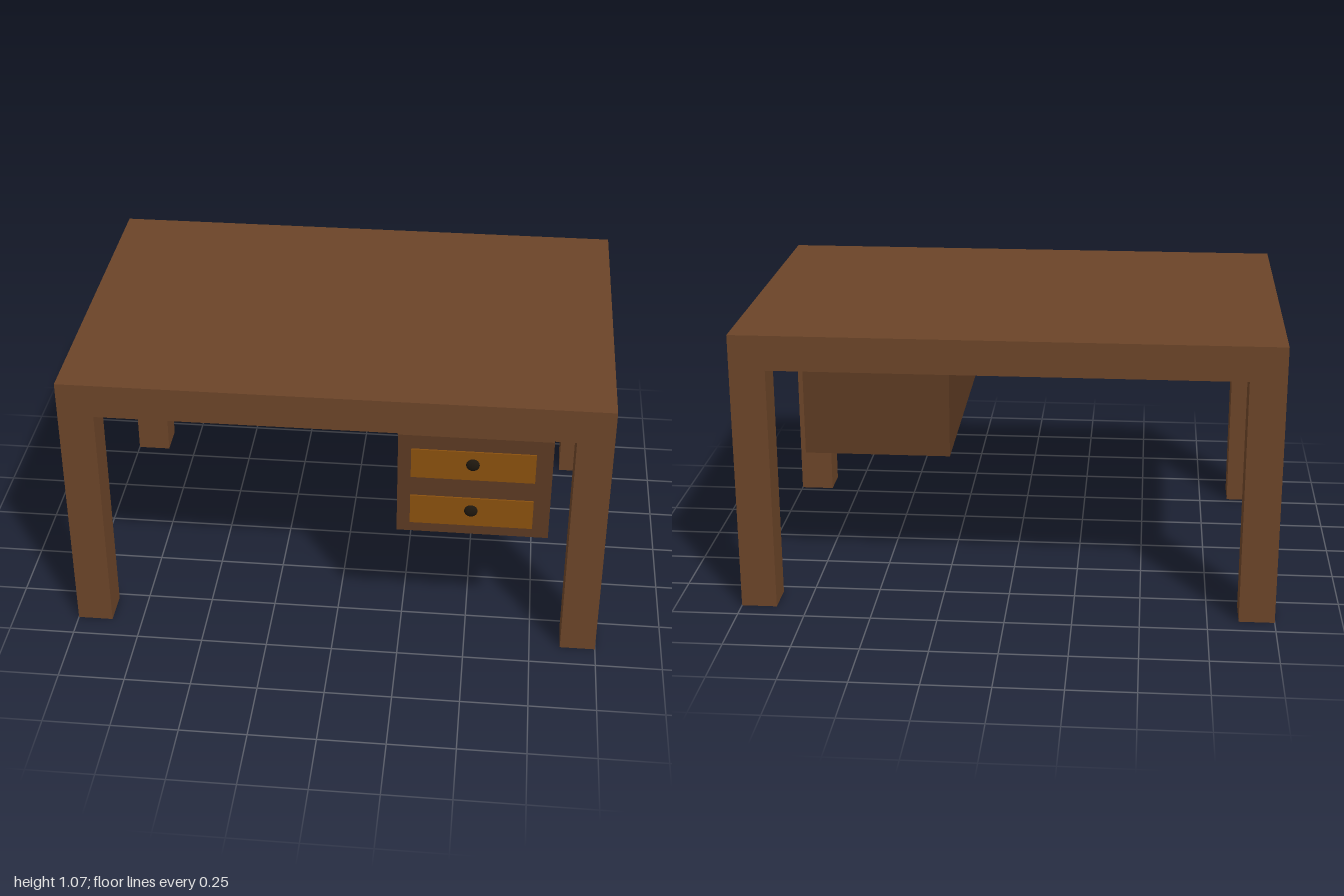
import * as THREE from 'three';

const paint = (color, extra = {}) => new THREE.MeshStandardMaterial({ color, ...extra });

export function createModel() {
  const desk = new THREE.Group();
  desk.name = 'desk';

  const tableWood = paint(0x6b4428);
  const legWood = paint(0x6b4428, { side: THREE.DoubleSide, flatShading: true });
  const cabinetWood = paint(0x5c3a22);
  const drawerWood = paint(0x8a500e);
  const knobMetal = paint(0x1e170e);

  const add = (parent, name, geometry, material) => {
    const mesh = new THREE.Mesh(geometry, material);
    mesh.name = name;
    parent.add(mesh);
    return mesh;
  };
  // Box given by its extents along each axis
  const box = (parent, name, material, [x0, x1], [y0, y1], [z0, z1]) => {
    const mesh = add(parent, name, new THREE.BoxGeometry(x1 - x0, y1 - y0, z1 - z0), material);
    mesh.position.set((x0 + x1) / 2, (y0 + y1) / 2, (z0 + z1) / 2);
    return mesh;
  };

  // Thick top slab
  const under = 0.936, front = 0.657, back = -0.677;
  box(desk, 'tabletop', tableWood, [-1, 1], [under, 1.067], [back, front]);

  // Hollow square legs, open at the foot, flush with the corners of the top
  const w = 0.133;
  const legGeometry = new THREE.CylinderGeometry(w / Math.SQRT2, w / Math.SQRT2, under, 4, 1, true)
    .rotateY(Math.PI / 4);
  for (const [side, x] of [['left', 1 - w / 2], ['right', -1 + w / 2]]) {
    for (const [end, z] of [['Front', front - w / 2], ['Back', back + w / 2]]) {
      add(desk, `${side}${end}Leg`, legGeometry, legWood).position.set(x, under / 2, z);
    }
  }

  // Drawer cabinet hung under the top
  const cabinet = new THREE.Group();
  cabinet.name = 'drawerCabinet';
  desk.add(cabinet);
  box(cabinet, 'cabinetBody', cabinetWood, [0.235, 0.79], [0.515, 0.933], [-0.389, 0.66]);

  // Two drawer fronts, each with a flattened round knob
  const knobGeometry = new THREE.SphereGeometry(0.025, 20, 14).scale(1, 1, 0.55);
  for (const [name, y] of [['upper', 0.817], ['lower', 0.616]]) {
    box(cabinet, `${name}DrawerFront`, drawerWood, [0.283, 0.73], [y - 0.06, y + 0.06], [0.64, 0.666]);
    add(cabinet, `${name}Knob`, knobGeometry, knobMetal).position.set(0.505, y + 0.006, 0.664);
  }

  return desk;
}
